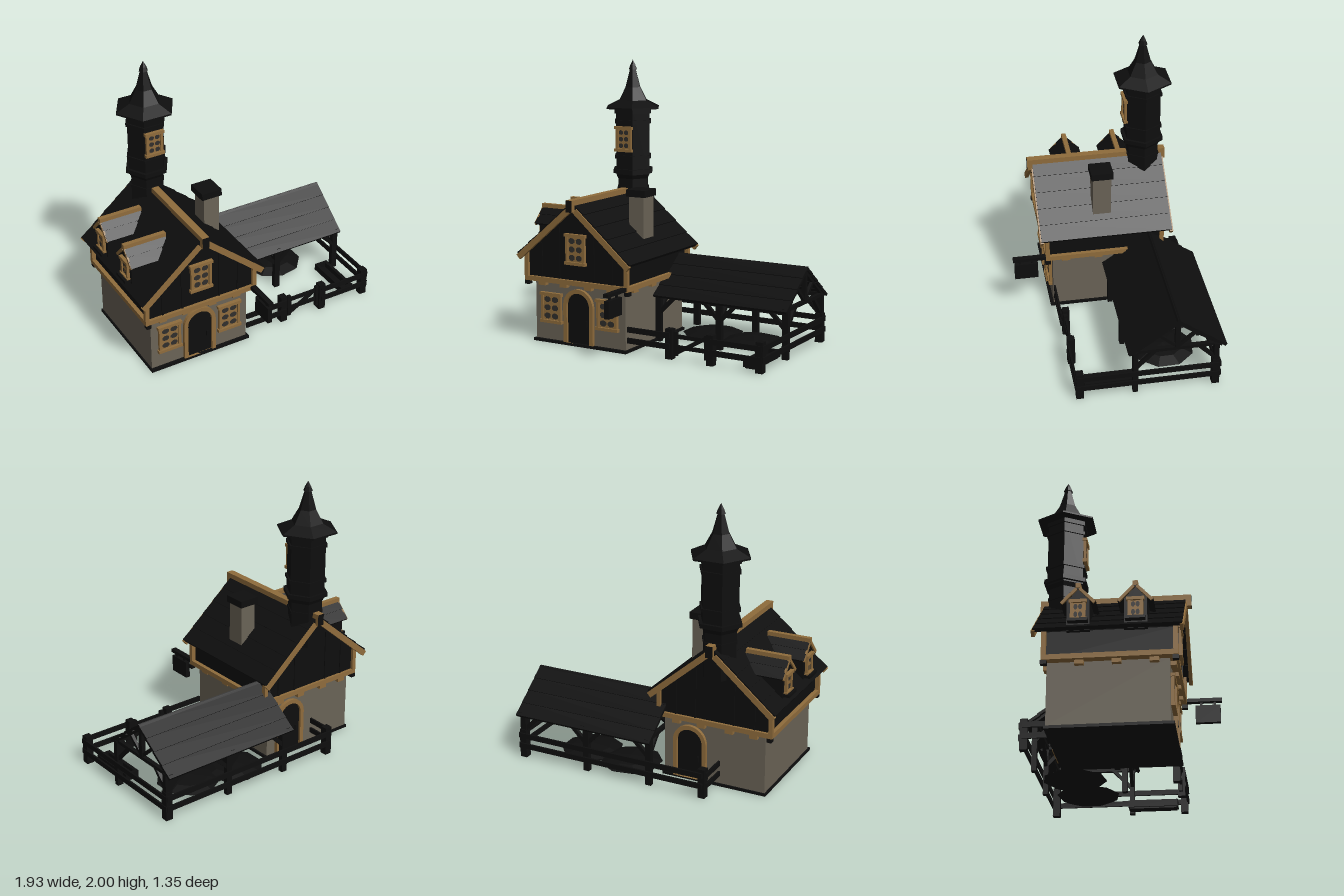
import * as THREE from 'three';

const mat = (name, color) => {
  const m = new THREE.MeshStandardMaterial({ color });
  m.name = name;
  return m;
};

export function createModel() {
  const dark = mat('dark timber', 0x0e0e0e);
  const tan = mat('tan trim', 0x8f6c3c);
  const stone = mat('stone', 0x6a6356);
  const glass = mat('window glass', 0x302e2c);
  const model = new THREE.Group();
  model.name = 'house';

  const group = (name, parent = model, x = 0, y = 0, z = 0, ry = 0) => {
    const g = new THREE.Group();
    g.name = name;
    g.position.set(x, y, z);
    g.rotation.y = ry;
    parent.add(g);
    return g;
  };
  const add = (name, geo, m, parent = model) => {
    const mesh = new THREE.Mesh(geo, m);
    mesh.name = name;
    parent.add(mesh);
    return mesh;
  };
  // Box from its lower and upper limits on each axis
  const box = (name, x0, x1, y0, y1, z0, z1, m, parent) => {
    const b = add(name, new THREE.BoxGeometry(x1 - x0, y1 - y0, z1 - z0), m, parent);
    b.position.set((x0 + x1) / 2, (y0 + y1) / 2, (z0 + z1) / 2);
    return b;
  };
  // Square timber between two points
  const beam = (name, a, b, w, h, m, parent) => {
    const A = new THREE.Vector3(...a), B = new THREE.Vector3(...b);
    const mesh = new THREE.Mesh(new THREE.BoxGeometry(w, h, A.distanceTo(B)), m);
    mesh.name = name;
    mesh.position.copy(A).lerp(B, 0.5);
    mesh.lookAt(B);
    parent.add(mesh);
    return mesh;
  };
  // Hexagonal or many-sided faceted turning
  const faceted = (pts, sides, start) => {
    const g = new THREE.LatheGeometry(pts.map(p => new THREE.Vector2(...p)), sides, start).toNonIndexed();
    g.computeVertexNormals();
    return g;
  };
  // Gable roof of overlapping boards, ridge along z through the group origin
  const gableRoof = (name, g, w, drop, len, n, t) => {
    const ang = Math.atan2(drop, w), L = Math.hypot(w, drop) / n;
    for (const s of [-1, 1]) for (let i = 0; i < n; i++) {
      const k = (i + 0.5) / n;
      const b = add(name, new THREE.BoxGeometry(L * 1.08, t, len), dark, g);
      b.position.set(s * (w * k - t / 2 * Math.sin(ang)), -drop * k - t / 2 * Math.cos(ang), 0);
      b.rotation.z = -s * (ang - 0.05);
    }
  };
  // Framed lattice window facing +z, origin at its centre
  const windowUnit = (parent, x, y, z, w, h, ry = 0, rows = 3) => {
    const g = group('window', parent, x, y, z, ry);
    box('windowLattice', -w / 2, w / 2, -h / 2, h / 2, -0.01, 0.008, tan, g);
    for (const s of [-1, 1])
      box('windowJamb', s * w / 2 - 0.01, s * w / 2 + 0.01, -h / 2, h / 2, -0.01, 0.018, tan, g);
    for (const s of [-1, 1])
      box('windowRail', -w / 2 - 0.018, w / 2 + 0.018, s * h / 2 - 0.011, s * h / 2 + 0.011, -0.01, 0.024, tan, g);
    const cw = (w - 0.02) / 2, ch = (h - 0.02) / rows;
    for (let i = 0; i < 2; i++) for (let j = 0; j < rows; j++) {
      const p = add('windowPane', new THREE.CircleGeometry(0.5, 8, Math.PI / 8), glass, g);
      p.scale.set(cw * 0.88, ch * 0.74, 1);
      p.position.set((i - 0.5) * cw, (j - (rows - 1) / 2) * ch, 0.011);
    }
  };
  // Arched door facing +z, origin at the sill
  const arch = (r, y) => {
    const s = new THREE.Shape();
    s.moveTo(-r, 0);
    s.lineTo(r, 0);
    s.lineTo(r, y);
    s.absarc(0, y, r, 0, Math.PI, false);
    s.lineTo(-r, 0);
    return s;
  };
  const door = (x, y, z, ry) => {
    const g = group('door', model, x, y, z, ry);
    const frame = arch(0.125, 0.27);
    frame.holes.push(arch(0.095, 0.27));
    const opts = d => ({ depth: d, bevelEnabled: false, curveSegments: 10 });
    add('doorFrame', new THREE.ExtrudeGeometry(frame, opts(0.03)), tan, g);
    add('doorLeaf', new THREE.ExtrudeGeometry(arch(0.1, 0.27), opts(0.012)), dark, g);
    box('doorHandle', 0.055, 0.07, 0.13, 0.17, 0.01, 0.025, dark, g);
  };

  // House body
  const CX = -0.485;
  box('plinth', -0.87, -0.085, 0, 0.02, -0.42, 0.4, dark);
  box('stoneWalls', -0.86, -0.1, 0.02, 0.45, -0.41, 0.376, stone);
  const gable = new THREE.Shape([[-0.405, 0.46], [0.405, 0.46], [0.405, 0.65], [0, 1.0], [-0.405, 0.65]]
    .map(p => new THREE.Vector2(...p)));
  add('upperStorey', new THREE.ExtrudeGeometry(gable, { depth: 0.83, bevelEnabled: false }), dark)
    .position.set(CX, 0, -0.42);
  box('floorBand', -0.92, -0.05, 0.447, 0.482, -0.44, 0.432, tan);
  for (const x of [-0.905, -0.065]) for (const z of [-0.425, 0.417]) {
    box('cornerPost', x - 0.015, x + 0.015, 0.48, 0.65, z - 0.015, z + 0.015, tan);
    box('cornerJoist', x - 0.01, x + 0.025, 0.42, 0.447, z - 0.02, z + 0.02, dark);
  }
  for (const x of [-0.78, -0.6, -0.39, -0.2])
    for (const z of [-0.42, 0.395]) box('joistEnd', x - 0.03, x + 0.03, 0.42, 0.448, z - 0.02, z + 0.02, tan);
  for (const z of [-0.2, 0.04, 0.28])
    for (const x of [-0.875, -0.09]) box('joistEnd', x - 0.02, x + 0.02, 0.42, 0.448, z - 0.03, z + 0.03, tan);
  for (const x of [-0.78, -0.63, -0.34, -0.19]) // wall battens
    for (const z of [-0.422, 0.412])
      box('gableBatten', x - 0.006, x + 0.006, 0.482, 0.98 - Math.abs(x - CX) * 0.86, z - 0.005, z + 0.005, dark);

  // Main roof
  const roof = group('mainRoof', model, CX, 1.05, -0.015);
  gableRoof('roofBoards', roof, 0.47, 0.4, 0.955, 5, 0.025);
  for (const s of [-1, 1]) for (const z of [-0.475, 0.475])
    beam('bargeBoard', [s * 0.028, -0.062, z], [s * 0.462, -0.432, z], 0.024, 0.042, tan, roof);
  const ridge = box('ridgeBeam', -0.026, 0.026, -0.07, 0.014, -0.505, 0.515, tan, roof);
  ridge.material = [tan, tan, tan, tan, dark, dark];

  // Windows and doors
  for (const x of [-0.72, -0.245]) windowUnit(model, x, 0.255, 0.38, 0.15, 0.2);
  windowUnit(model, CX, 0.705, 0.413, 0.14, 0.2);
  door(CX, 0.02, 0.37, 0);
  door(-0.3, 0.02, -0.405, Math.PI);

  // Chimney
  box('chimney', -0.26, -0.14, 0.72, 1.06, -0.065, 0.068, stone);
  box('chimneyCap', -0.28, -0.125, 1.055, 1.105, -0.08, 0.08, dark);

  // Dormers on the right slope, each built facing +z and turned to face -x
  for (const z of [-0.205, 0.165]) {
    const d = group('dormer', model, -0.93, 0, z, -Math.PI / 2);
    const face = new THREE.Shape([[-0.075, 0.64], [0.075, 0.64], [0.075, 0.86], [0, 0.94], [-0.075, 0.86]]
      .map(p => new THREE.Vector2(...p)));
    add('dormerBody', new THREE.ExtrudeGeometry(face, { depth: 0.2, bevelEnabled: false }), dark, d)
      .position.z = -0.21;
    gableRoof('dormerRoof', group('dormerRoofs', d, 0, 0.958, -0.15), 0.113, 0.12, 0.31, 2, 0.018);
    box('dormerRidge', -0.017, 0.017, 0.935, 0.968, -0.31, 0.01, tan, d);
    for (const s of [-1, 1])
      beam('dormerBarge', [s * 0.01, 0.932, 0.003], [s * 0.108, 0.828, 0.003], 0.012, 0.02, tan, d);
    windowUnit(d, 0, 0.775, -0.008, 0.08, 0.13, 0, 2);
    box('dormerSill', -0.065, 0.065, 0.69, 0.71, -0.02, 0.035, dark, d);
  }

  // Hexagonal tower
  const tower = group('tower', model, CX, 0, -0.35);
  const H = Math.PI / 6;
  add('towerShaft', faceted([[0.125, 0.8], [0.125, 1.13], [0.14, 1.16], [0.14, 1.66]], 6, H), dark, tower);
  for (const [y, r, h] of [[1.055, 0.132, 0.02], [1.185, 0.163, 0.03], [1.29, 0.152, 0.025], [1.55, 0.152, 0.025], [1.625, 0.152, 0.03]])
    add('towerBand', faceted([[0.1, y - h / 2], [r, y - h / 2], [r, y + h / 2], [0.1, y + h / 2]], 6, H), dark, tower);
  add('spire', faceted([[0.1, 1.65], [0.218, 1.645], [0.218, 1.657], [0.115, 1.705], [0.062, 1.8], [0.024, 1.93]], 6, H), dark, tower);
  add('finial', faceted([[0, 1.925], [0.034, 1.93], [0.022, 1.96], [0, 2]], 6, H), dark, tower);
  windowUnit(tower, 0, 1.425, 0.122, 0.11, 0.165);

  // Hanging sign
  const sign = group('hangingSign');
  box('signArm', -0.095, -0.055, 0.455, 0.48, 0.42, 0.67, dark, sign);
  box('signBoard', -0.092, -0.058, 0.305, 0.43, 0.49, 0.66, dark, sign);
  for (const z of [0.53, 0.62]) box('signHanger', -0.083, -0.067, 0.42, 0.46, z - 0.008, z + 0.008, dark, sign);

  // Open shelter
  const shelter = group('shelter');
  const RZ = -0.335;
  gableRoof('shelterRoof', group('shelterRoofs', shelter, 0.42, 0.6, RZ, Math.PI / 2), 0.34, 0.255, 1.07, 4, 0.02);
  for (const z of [-0.61, -0.045]) {
    box('wallPlate', -0.1, 0.94, 0.335, 0.365, z - 0.018, z + 0.018, dark, shelter);
    for (const x of [-0.08, 0.415, 0.93]) {
      box('shelterPost', x - 0.022, x + 0.022, 0, 0.35, z - 0.018, z + 0.018, dark, shelter);
      for (const s of [-1, 1]) if (Math.abs(x + s * 0.13 - 0.42) < 0.5)
        beam('kneeBrace', [x, 0.205, z], [x + s * 0.14, 0.345, z], 0.025, 0.028, dark, shelter);
    }
  }
  for (const x of [-0.08, 0.415, 0.93]) {
    box('tieBeam', x - 0.015, x + 0.015, 0.335, 0.36, -0.66, -0.01, dark, shelter);
    box('kingPost', x - 0.015, x + 0.015, 0.35, 0.58, RZ - 0.018, RZ + 0.018, dark, shelter);
    for (const s of [-1, 1]) {
      beam('rafter', [x, 0.565, RZ], [x, 0.335, RZ + s * 0.315], 0.025, 0.025, dark, shelter);
      beam('strut', [x, 0.355, RZ], [x, 0.48, RZ + s * 0.14], 0.022, 0.022, dark, shelter);
      beam('kneeBrace', [x, 0.21, RZ + s * 0.28], [x, 0.345, RZ + s * 0.15], 0.025, 0.025, dark, shelter);
    }
  }
  for (const [x, z] of [[0.19, -0.37], [0.54, -0.32]]) { // heaps under the shelter
    const heap = add('heap', faceted([[0, 0.005], [0.19, 0.005], [0.225, 0.025], [0.14, 0.05], [0, 0.065]], 9, x), dark, shelter);
    heap.position.set(x, 0, z);
  }
  const trough = group('trough', shelter);
  box('troughBase', 0.79, 0.87, 0, 0.02, -0.05, 0.29, dark, trough);
  for (const x of [0.79, 0.87]) box('troughSide', x - 0.012, x + 0.012, 0.01, 0.06, -0.06, 0.3, dark, trough);
  for (const z of [-0.05, 0.29]) box('troughEnd', 0.78, 0.88, 0.01, 0.06, z - 0.01, z + 0.01, dark, trough);

  // Fence around the yard
  const fence = group('fence');
  const post = (x, z, h = 0.213) => box('fencePost', x - 0.026, x + 0.026, 0, h, z - 0.026, z + 0.026, dark, fence);
  const rails = (x0, z0, x1, z1) => {
    for (const y of [0.092, 0.17]) beam('fenceRail', [x0, y, z0], [x1, y, z1], 0.014, 0.038, dark, fence);
  };
  for (const [x, z] of [[0.235, 0.335], [0.56, 0.345], [0.93, 0.342], [0.93, -0.61], [-0.49, -0.61]]) post(x, z);
  rails(-0.09, 0.368, 0.25, 0.368);
  rails(0.55, 0.368, 0.955, 0.368);
  rails(0.955, 0.368, 0.955, -0.64);
  rails(0.955, -0.64, -0.5, -0.64);
  rails(-0.518, -0.62, -0.518, -0.41);

  // Gate
  const gate = group('gate');
  for (const x of [0.285, 0.525]) box('gateStile', x - 0.014, x + 0.014, 0.03, 0.2, 0.33, 0.355, dark, gate);
  for (const y of [0.09, 0.165]) box('gateRail', 0.275, 0.535, y - 0.014, y + 0.014, 0.335, 0.35, dark, gate);
  beam('gateBrace', [0.29, 0.05, 0.345], [0.52, 0.18, 0.345], 0.014, 0.028, dark, gate);

  return model;
}
